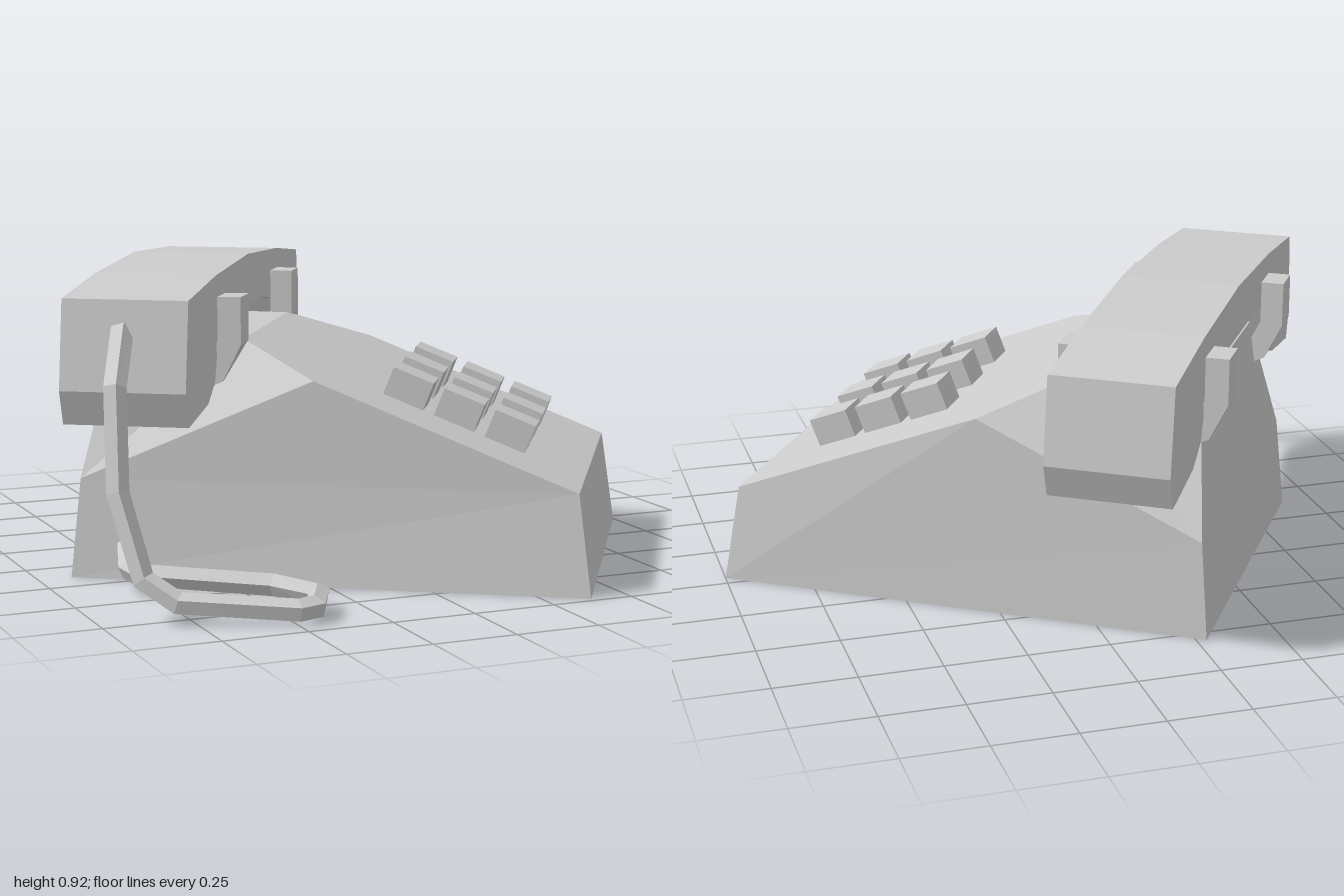
import * as THREE from 'three';

const grey = new THREE.MeshStandardMaterial({ color: 0xcccccc });
grey.name = 'grey plastic';

function add(parent, name, geometry) {
  const mesh = new THREE.Mesh(geometry, grey);
  mesh.name = name;
  parent.add(mesh);
  return mesh;
}

// Flat-faced geometry from convex polygons, each cut into a fan
function fromPolygons(polygons) {
  const out = [];
  for (const p of polygons)
    for (let i = 1; i < p.length - 1; i++) out.push(...p[0], ...p[i], ...p[i + 1]);
  const g = new THREE.BufferGeometry();
  g.setAttribute('position', new THREE.Float32BufferAttribute(out, 3));
  g.computeVertexNormals();
  return g;
}

// Wedge body, given by the corners of its left half
function bodyGeometry() {
  const half = {
    footFront: [0.563, 0, 0.766], footBack: [0.563, 0, -0.766],
    rimFront: [0.525, 0.295, 0.725], rimBack: [0.54, 0.295, -0.74],
    shoulder: [0.525, 0.6, -0.045],
    topFront: [0.34, 0.695, -0.29], topBack: [0.34, 0.695, -0.68],
  };
  const L = (n) => half[n];
  const R = (n) => [-half[n][0], half[n][1], half[n][2]];
  const sides = [
    ['footFront', 'footBack', 'rimBack', 'shoulder', 'rimFront'],
    ['shoulder', 'rimBack', 'topFront'],
    ['rimBack', 'topBack', 'topFront'],
  ];
  // Faces across the middle run along the right half and back along the left
  const across = [
    ['footFront', 'rimFront'], ['rimFront', 'shoulder', 'topFront'],
    ['topFront', 'topBack'], ['topBack', 'rimBack'],
    ['rimBack', 'footBack'], ['footBack', 'footFront'],
  ];
  return fromPolygons([
    ...sides.map((f) => f.map(L)),
    ...sides.map((f) => f.map(R).reverse()),
    ...across.map((f) => [...f.map(L), ...f.map(R).reverse()]),
  ]);
}

// Prism from a closed outline
function prism(points, depth) {
  const shape = new THREE.Shape(points.map(([x, y]) => new THREE.Vector2(x, y)));
  return new THREE.ExtrudeGeometry(shape, { depth, bevelEnabled: false });
}
const mirror = (points) => points.map(([x, y]) => [-x, y]).reverse();

export function createModel() {
  const model = new THREE.Group();
  model.name = 'deskTelephone';
  const phone = new THREE.Group();
  phone.name = 'telephone';
  phone.rotation.y = 0.988;
  phone.position.set(0.05, 0, 0.09);
  model.add(phone);

  add(phone, 'body', bodyGeometry());

  // Handset: arched grip with a deep cup at each end
  const upper = [[0.795, 0.857], [0.45, 0.893]];
  const lower = [[0.24, 0.755], [0.41, 0.73], [0.47, 0.58], [0.56, 0.53], [0.8, 0.5], [0.835, 0.6]];
  const outline = [...lower, ...upper, [0, 0.915], ...mirror(upper), ...mirror(lower)];
  add(phone, 'handset', prism(outline, 0.365).translate(0, 0, -0.7125));

  // Two U-shaped cradle hooks under the grip
  const outer = [[0.255, 0.83], [0.255, 0.69], [0.2, 0.58], [0.09, 0.53]];
  const inner = [[0.07, 0.585], [0.145, 0.62], [0.185, 0.7], [0.185, 0.83]];
  const hook = [...outer, ...mirror(outer), ...mirror(inner), ...inner];
  for (const s of [-1, 1]) {
    const g = prism(hook, 0.11).translate(0, 0, -0.055).rotateY(-Math.PI / 2);
    add(phone, s < 0 ? 'rightCradleHook' : 'leftCradleHook', g).position.set(s * 0.39, 0, -0.53);
  }

  // Three by three keys standing square to the sloping face
  const keys = new THREE.Group();
  keys.name = 'keypad';
  phone.add(keys);
  const slope = 0.394;
  const keyGeometry = new THREE.BoxGeometry(0.118, 0.11, 0.128).translate(0, 0.033, 0);
  for (let row = 0; row < 3; row++)
    for (let col = -1; col <= 1; col++) {
      const z = 0.183 + row * 0.152;
      const key = add(keys, 'key', keyGeometry);
      key.position.set(col * 0.235, 0.295 + (0.725 - z) * slope, z);
      key.rotation.x = Math.atan(slope);
    }

  // Cord from the handset end, looping on the table and back to the body
  const path = [
    [-0.79, 0.77, -0.54], [-0.95, 0.63, -0.52], [-1.01, 0.35, -0.5],
    [-1.05, 0.12, -0.42], [-1.06, 0.06, -0.32], [-1.0, 0.04, 0],
    [-0.95, 0.04, 0.04], [-0.845, 0.05, 0.03], [-0.77, 0.055, -0.11],
    [-0.74, 0.06, -0.51], [-0.71, 0.07, -0.55], [-0.53, 0.1, -0.6],
  ].map((p) => new THREE.Vector3(...p));
  const curve = new THREE.CatmullRomCurve3(path);
  curve.getUtoTmapping = (u) => u; // one ring at each path point
  const cord = new THREE.TubeGeometry(curve, path.length - 1, 0.034, 5).toNonIndexed();
  cord.computeVertexNormals();
  add(phone, 'cord', cord);

  return model;
}
